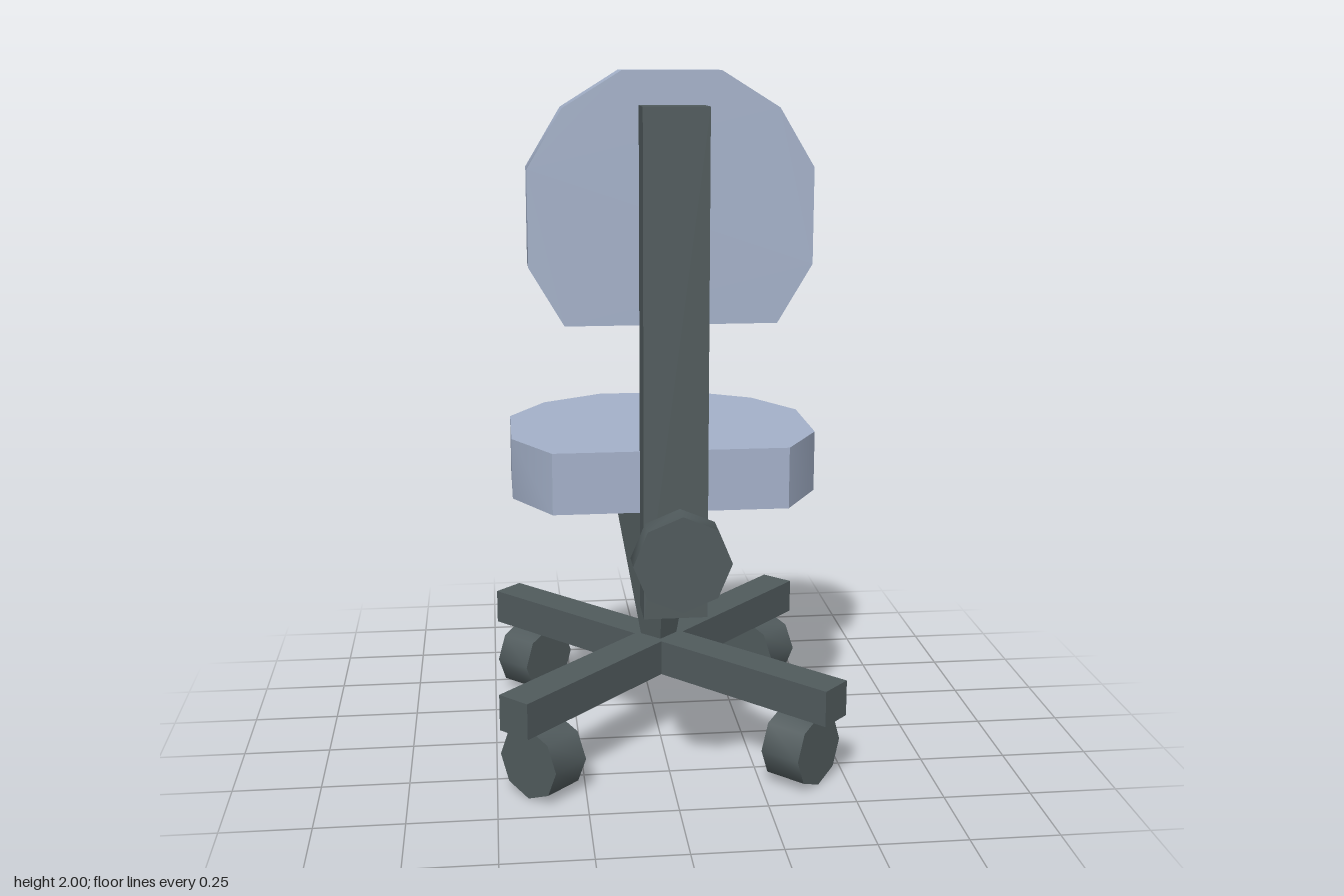
import * as THREE from 'three';
import { toCreasedNormals } from 'three/addons/utils/BufferGeometryUtils.js';

const CREASE = 0.9; // keeps rims sharp and the rounded sides smooth

export function createModel() {
  const model = new THREE.Group();
  model.name = 'officeChair';

  const cushion = new THREE.MeshStandardMaterial({ color: 0xa3b0c8 });
  cushion.name = 'blue grey cushion';
  const metal = new THREE.MeshStandardMaterial({ color: 0x505a5c });
  metal.name = 'dark grey frame';

  const add = (name, geometry, material, x = 0, y = 0, z = 0) => {
    const mesh = new THREE.Mesh(toCreasedNormals(geometry, CREASE), material);
    mesh.name = name;
    mesh.position.set(x, y, z);
    model.add(mesh);
    return mesh;
  };
  const slab = (points, depth) => new THREE.ExtrudeGeometry(
    new THREE.Shape(points.map(([x, y]) => new THREE.Vector2(x, y))),
    { depth, bevelEnabled: false });
  // Completes a half outline with its mirror image across x = 0
  const mirrored = (half) => [...half, ...half.map(([x, y]) => [-x, y]).reverse()];
  // Lays a slab flat, with its top at y = 0
  const flat = (points, depth) => slab(points, depth).rotateX(Math.PI / 2);
  // Eight-sided disc with its axis along z
  const disc = (radius, width) =>
    new THREE.CylinderGeometry(radius, radius, width, 8).rotateX(Math.PI / 2);

  // Cushions: rounded with one straight edge
  add('seat', flat(mirrored([
    [0.145, -0.475], [0.328, -0.365], [0.437, -0.182], [0.437, 0.112], [0.33, 0.295],
  ]), 0.175), cushion, 0, 0.975, 0);
  add('backrest', slab(mirrored([
    [0.133, 2.0], [0.29, 1.903], [0.385, 1.745], [0.385, 1.485], [0.29, 1.325],
  ]), 0.125), cushion, 0, 0, 0.16);

  // Back post and its adjusting knob
  add('backPost', new THREE.BoxGeometry(0.176, 1.385, 0.113), metal, 0, 1.2175, 0.342);
  add('knobStem', new THREE.BoxGeometry(0.066, 0.066, 0.1), metal, 0, 0.732, 0.443);
  add('knob', disc(0.132, 0.079), metal, 0, 0.732, 0.5265);

  // Tapered four-sided column
  const baseZ = -0.053;
  add('column', new THREE.CylinderGeometry(0.141, 0.05, 0.51, 4), metal, 0, 0.545, baseZ);

  // Crossed base bars
  for (const s of [1, -1]) {
    const corners = [[0.414, -0.512], [0.489, -0.437], [-0.414, 0.512], [-0.489, 0.437]];
    add('baseBar', flat(corners.map(([x, z]) => [s * x, z]), 0.105), metal, 0, 0.315, baseZ);
  }

  // Casters facing outward under the bar ends
  for (const sx of [1, -1]) {
    for (const sz of [1, -1]) {
      const wheel = add('caster', disc(0.106, 0.125), metal,
        sx * 0.369, 0.106, baseZ + sz * 0.393);
      wheel.rotation.y = Math.atan2(sx, sz);
    }
  }

  return model;
}
